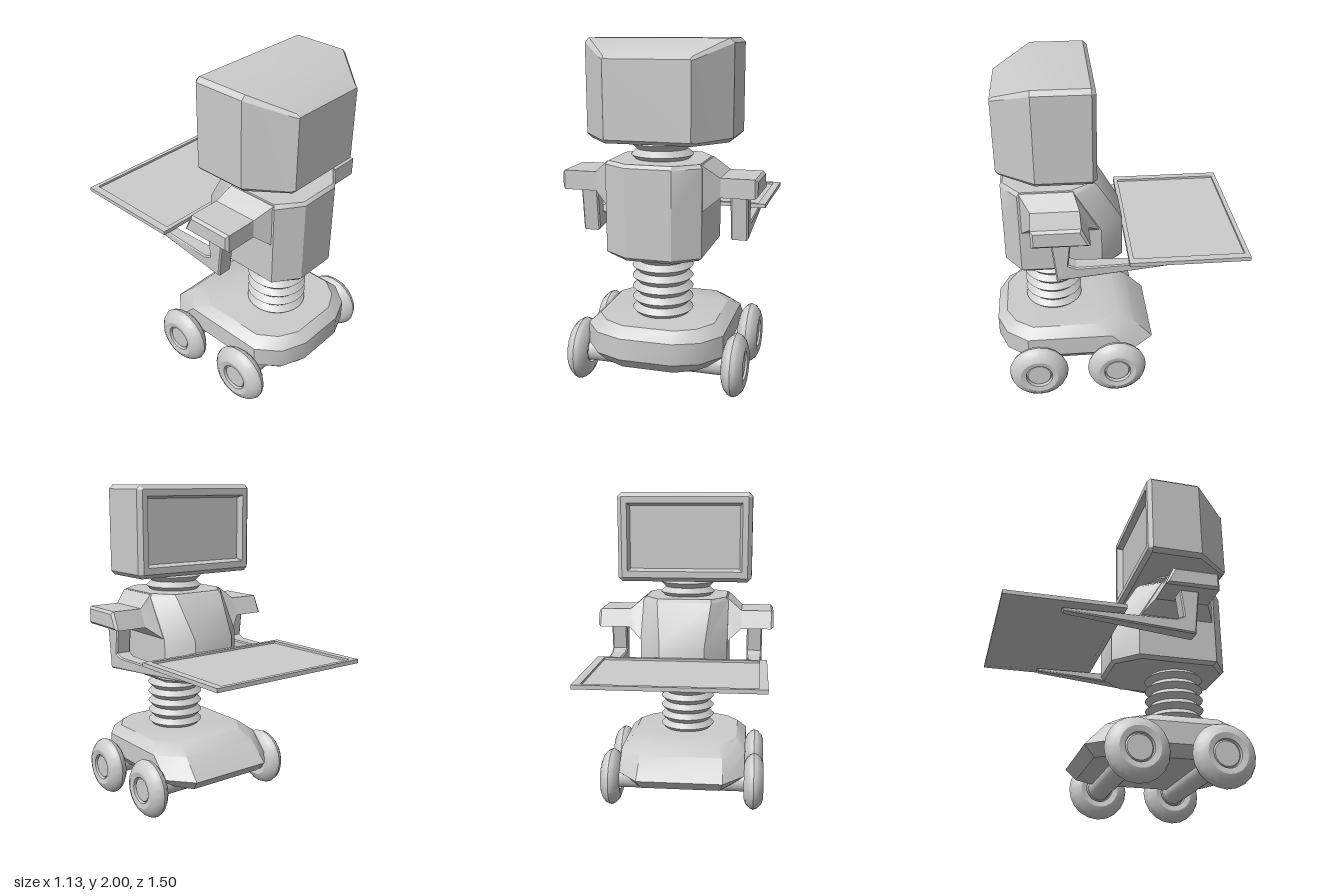
import * as THREE from 'three';
import { toCreasedNormals } from 'three/addons/utils/BufferGeometryUtils.js';

const grey = new THREE.MeshStandardMaterial({ color: 0xcccccc });

function add(parent, name, geometry, x = 0, y = 0, z = 0) {
  const mesh = new THREE.Mesh(geometry, grey);
  mesh.name = name;
  mesh.position.set(x, y, z);
  parent.add(mesh);
  return mesh;
}

// Completes a half ring (x > 0) with its mirror image
const mirrored = (half) => [...half, ...half.slice().reverse().map(([x, y, z]) => [-x, y, z])];

// Skins a row of rings with equal point counts and caps both ends
function loft(rings, crease = 0.55) {
  const n = rings[0].length, index = [];
  const quad = (a, b, c, d) => index.push(a, b, c, a, c, d);
  for (let r = 0; r < rings.length - 1; r++) {
    for (let i = 0; i < n; i++) {
      const j = (i + 1) % n, a = r * n, b = a + n;
      quad(a + i, a + j, b + j, b + i);
    }
  }
  const end = (rings.length - 1) * n;
  for (let i = 0; i < n / 2 - 1; i++) {
    quad(n - 1 - i, n - 2 - i, i + 1, i);
    quad(end + i, end + i + 1, end + n - 2 - i, end + n - 1 - i);
  }
  const g = new THREE.BufferGeometry();
  g.setAttribute('position', new THREE.Float32BufferAttribute(rings.flat(2), 3));
  g.setIndex(index);
  return toCreasedNormals(g, crease);
}

// Side profile of [z, y] points, extruded along x and centred on it
function sideExtrude(points, width, bevel) {
  const shape = new THREE.Shape(points.map(([z, y]) => new THREE.Vector2(-z, y)));
  const g = new THREE.ExtrudeGeometry(shape, {
    depth: width - 2 * bevel, bevelThickness: bevel, bevelSize: bevel,
    bevelOffset: -bevel, bevelSegments: 1,
  });
  return g.translate(0, 0, bevel - width / 2).rotateY(Math.PI / 2);
}

// Ribbed flexible column
function bellows(y0, y1, ribs) {
  const profile = [];
  const step = (y1 - y0) / ribs;
  for (let i = 0; i < ribs; i++) {
    profile.push(new THREE.Vector2(0.145, y0 + i * step));
    profile.push(new THREE.Vector2(0.178, y0 + (i + 0.5) * step));
  }
  profile.push(new THREE.Vector2(0.145, y1));
  return toCreasedNormals(new THREE.LatheGeometry(profile, 32), 0.5);
}

export function createModel() {
  const model = new THREE.Group();
  model.name = 'robot';

  // Head: chamfered rectangles along z, starting in the recessed screen
  const headRing = (z, w, y0, y1, c) => mirrored([
    [w - c, y0, z], [w, y0 + c, z], [w, y1 - c, z], [w - c, y1, z],
  ]);
  add(model, 'head', loft([
    headRing(0.16, 0.345, 1.53, 1.92, 0.002),
    headRing(0.12, 0.36, 1.515, 1.935, 0.002),
    headRing(0.12, 0.395, 1.475, 1.975, 0.004),
    headRing(0.145, 0.42, 1.45, 2.0, 0.025),
    headRing(0.46, 0.42, 1.45, 2.0, 0.025),
    headRing(0.66, 0.255, 1.45, 1.91, 0.015),
    headRing(0.68, 0.24, 1.47, 1.895, 0.004),
  ]));

  // Neck and waist
  add(model, 'neck', bellows(1.33, 1.46, 2), 0, 0, 0.385);
  add(model, 'waist', bellows(0.42, 0.81, 6), 0, 0, 0.385);

  // Torso: eight-sided plan, upper back sloping forward
  const torsoRing = (y, inset, back, sideBack, backWidth) => mirrored([
    [0.13, y, 0.67 - inset], [0.275 - inset, y, 0.57 - inset],
    [0.275 - inset, y, sideBack + inset], [backWidth, y, back + inset],
  ]);
  add(model, 'torso', loft([
    torsoRing(0.8, 0.02, -0.045, 0.09, 0.14),
    torsoRing(0.82, 0, -0.045, 0.09, 0.14),
    torsoRing(1.07, 0, -0.045, 0.09, 0.14),
    torsoRing(1.32, 0, 0.105, 0.24, 0.17),
    torsoRing(1.34, 0.015, 0.115, 0.25, 0.17),
  ]));

  // Shoulders: one block through the torso, tapering to each arm
  const shoulderRing = (x, y0, y1, front, low, high) => [
    [x, y0, front], [x, y0, low], [x, y1, high], [x, y1, front],
  ];
  add(model, 'shoulders', loft([
    shoulderRing(-0.36, 1.15, 1.26, 0.5, 0.17, 0.22),
    shoulderRing(-0.27, 1.075, 1.335, 0.56, 0.1, 0.25),
    shoulderRing(0.27, 1.075, 1.335, 0.56, 0.1, 0.25),
    shoulderRing(0.36, 1.15, 1.26, 0.5, 0.17, 0.22),
  ]));

  // Arms: upper block and bent forearm narrowing towards the tip
  const upperArm = sideExtrude([[0.5, 1.15], [0.17, 1.15], [0.22, 1.26], [0.5, 1.26]], 0.22, 0.015);
  const forearm = sideExtrude([
    [0.395, 1.16], [0.365, 0.88], [-0.4, 0.945], [-0.41, 0.963],
    [0.25, 0.965], [0.295, 0.985], [0.275, 1.16],
  ], 0.1, 0.008);
  const p = forearm.attributes.position;
  for (let i = 0; i < p.count; i++) {
    const t = THREE.MathUtils.clamp((0.3 - p.getZ(i)) / 0.7, 0, 1);
    p.setX(i, p.getX(i) * (1 - 0.55 * t));
  }
  forearm.computeVertexNormals();
  for (const [side, s] of [['left', 1], ['right', -1]]) {
    add(model, side + 'UpperArm', upperArm, s * 0.455, 0, 0);
    add(model, side + 'Forearm', forearm, s * 0.445, 0, 0);
  }

  // Tray: thin plate with a raised rim
  const tray = new THREE.Group();
  tray.name = 'tray';
  tray.position.set(0, 0.975, -0.4);
  model.add(tray);
  const rectangle = (Type, w, d) => new Type([
    new THREE.Vector2(-w, -d), new THREE.Vector2(w, -d),
    new THREE.Vector2(w, d), new THREE.Vector2(-w, d),
  ]);
  const rim = rectangle(THREE.Shape, 0.525, 0.35);
  rim.holes.push(rectangle(THREE.Path, 0.478, 0.323));
  const rimGeometry = new THREE.ExtrudeGeometry(rim, { depth: 0.024, bevelEnabled: false });
  add(tray, 'trayRim', rimGeometry.rotateX(-Math.PI / 2));
  add(tray, 'trayPlate', new THREE.BoxGeometry(0.96, 0.01, 0.65), 0, 0.0055, 0);

  // Base: rounded front and wedge-shaped rear
  const baseRing = (y, inset, back, backWidth) => mirrored([
    [0.15, y, 0.75 - inset], [0.3 - inset * 0.6, y, 0.69 - inset],
    [0.4 - inset, y, 0.56 - inset * 0.6], [0.4 - inset, y, back + 0.15],
    [backWidth, y, back],
  ]);
  add(model, 'base', loft([
    baseRing(0.185, 0.055, -0.17, 0.25),
    baseRing(0.25, 0, -0.23, 0.27),
    baseRing(0.375, 0, -0.11, 0.26),
    baseRing(0.43, 0.06, -0.01, 0.23),
  ]));

  // Wheels and axles
  const halfWheel = [
    [0, 0.045], [0.07, 0.045], [0.078, 0.035], [0.082, 0.055], [0.115, 0.062],
    [0.145, 0.05], [0.172, 0.025],
  ];
  const profile = [
    ...halfWheel.map(([r, h]) => new THREE.Vector2(r, -h)),
    new THREE.Vector2(0.182, 0),
    ...halfWheel.slice().reverse().map(([r, h]) => new THREE.Vector2(r, h)),
  ];
  const wheel = toCreasedNormals(new THREE.LatheGeometry(profile, 20), 0.45).rotateZ(Math.PI / 2);
  const axle = new THREE.CylinderGeometry(0.068, 0.068, 0.86, 24).rotateZ(Math.PI / 2);
  for (const [end, z] of [['front', 0.5], ['rear', 0.015]]) {
    add(model, end + 'Axle', axle, 0, 0.182, z);
    add(model, end + 'LeftWheel', wheel, 0.46, 0.182, z);
    add(model, end + 'RightWheel', wheel, -0.46, 0.182, z);
  }
  return model;
}
